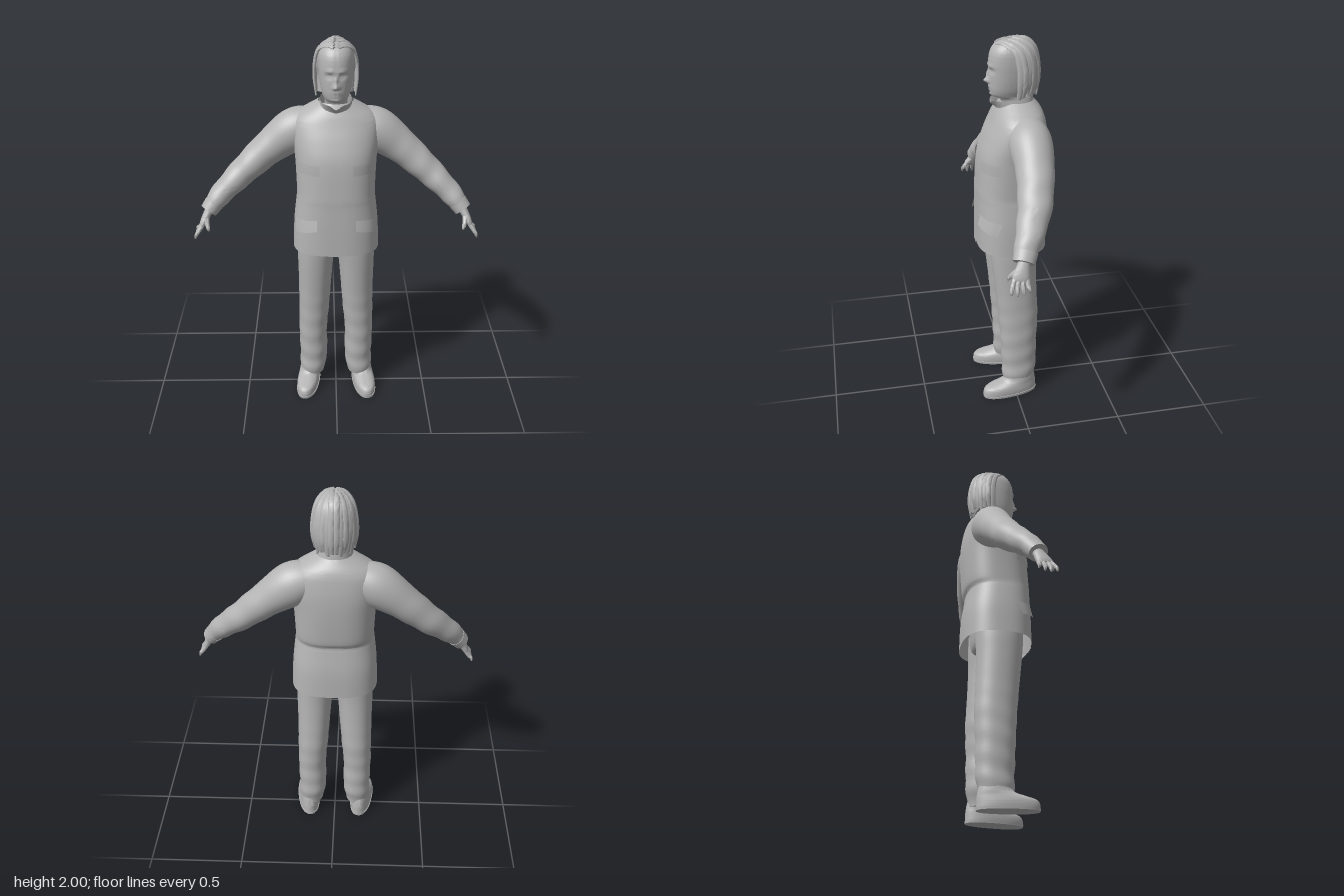
import * as THREE from 'three';
import { toCreasedNormals } from 'three/addons/utils/BufferGeometryUtils.js';

const V3 = (x, y, z) => new THREE.Vector3(x, y, z);
const UP = V3(0, 1, 0);
const FRONT = V3(0, 0, 1);

// Smooth interpolation through rows of numbers, t in 0..rows-1
function sample(rows, t) {
  const i = Math.min(Math.floor(t), rows.length - 2), f = t - i;
  const at = k => rows[Math.max(0, Math.min(rows.length - 1, k))];
  const [a, b, c, d] = [at(i - 1), at(i), at(i + 1), at(i + 2)];
  return b.map((p, k) => p + 0.5 * f * (c[k] - a[k] + f * (2 * a[k] - 5 * p + 4 * c[k] - d[k]
    + f * (3 * (p - c[k]) + d[k] - a[k]))));
}

// Skin over superellipse rings [x, y, z, radiusU, radiusV, power].
// Rings lie flat when level is set, otherwise square to the path.
function loft(rows, { n = 32, steps = 5, level = true, side = FRONT, warp, start = true, end = true, crease = 0.8 } = {}) {
  const pos = [], idx = [], count = (rows.length - 1) * steps + 1, centres = [];
  for (let i = 0; i < count; i++) {
    const t = i / steps, [x, y, z, a, b, p] = sample(rows, t);
    const c = V3(x, y, z);
    const p0 = sample(rows, Math.max(0, t - 0.1)), p1 = sample(rows, Math.min(rows.length - 1, t + 0.1));
    const T = level ? UP.clone() : V3(p1[0] - p0[0], p1[1] - p0[1], p1[2] - p0[2]).normalize();
    const v = side.clone().addScaledVector(T, -side.dot(T)).normalize();
    const u = T.clone().cross(v);
    centres.push(c);
    for (let j = 0; j < n; j++) {
      const q = j / n * Math.PI * 2, e = 2 / p, cs = Math.cos(q), sn = Math.sin(q);
      const pt = c.clone()
        .addScaledVector(u, a * Math.sign(cs) * Math.abs(cs) ** e)
        .addScaledVector(v, b * Math.sign(sn) * Math.abs(sn) ** e);
      if (warp) warp(pt, c);
      pos.push(pt.x, pt.y, pt.z);
      if (i < count - 1) {
        const k = i * n + j, l = i * n + (j + 1) % n;
        idx.push(k, k + n, l, l, k + n, l + n);
      }
    }
  }
  const cap = (ring, flip) => {
    const c = centres[ring], m = pos.length / 3;
    pos.push(c.x, c.y, c.z);
    for (let j = 0; j < n; j++) {
      const k = ring * n + j, l = ring * n + (j + 1) % n;
      flip ? idx.push(m, l, k) : idx.push(m, k, l);
    }
  };
  if (start) cap(0, false);
  if (end) cap(count - 1, true);
  const g = new THREE.BufferGeometry();
  g.setAttribute('position', new THREE.Float32BufferAttribute(pos, 3));
  g.setIndex(idx);
  return toCreasedNormals(g, crease);
}

// Row given by height, half width, front and back depth
const ring = ([y, rx, zf, zb, p = 2.2], x = 0) => [x, y, (zf + zb) / 2, rx, (zf - zb) / 2, p];

const JACKET = [
  [0.905, 0.226, 0.185, -0.18, 2.7], [1.05, 0.22, 0.183, -0.176, 2.7], [1.17, 0.207, 0.18, -0.16, 2.6],
  [1.2, 0.203, 0.18, -0.157, 2.6], [1.24, 0.203, 0.178, -0.172, 2.6], [1.4, 0.21, 0.165, -0.185, 2.5],
  [1.5, 0.222, 0.135, -0.185, 2.4], [1.58, 0.222, 0.1, -0.175, 2.3], [1.62, 0.195, 0.083, -0.165, 2.2],
  [1.65, 0.15, 0.068, -0.15, 2.1], [1.685, 0.09, 0.05, -0.12, 2],
].map(r => ring(r));

// Depth of the jacket's front at a given x and y
function jacketFront(x, y) {
  let lo = 0, hi = JACKET.length - 1;
  for (let i = 0; i < 24; i++) {
    const m = (lo + hi) / 2;
    if (sample(JACKET, m)[1] < y) lo = m; else hi = m;
  }
  const [, , z, a, b, p] = sample(JACKET, lo);
  return z + b * Math.max(0, 1 - Math.abs(x / a) ** p) ** (1 / p);
}

// Thin cloth patch lying on the jacket, from its top edge to its bottom edge
function patch(x0, x1, top, bottom, liftTop, liftBottom, rows = 6) {
  const g = new THREE.PlaneGeometry(1, 1, 10, rows), a = g.attributes.position;
  for (let i = 0; i < a.count; i++) {
    const u = a.getX(i) + 0.5, v = a.getY(i) + 0.5;
    const x = x0 + (x1 - x0) * u, y = bottom(u) + (top(u) - bottom(u)) * v;
    a.setXYZ(i, x, y, jacketFront(x, y) + liftBottom + (liftTop - liftBottom) * v);
  }
  g.computeVertexNormals();
  return g;
}

// Facial relief: [x, y, depth, width, height]
const FACE = [
  [0, 1.788, 0.026, 0.013, 0.014], [0, 1.82, 0.013, 0.009, 0.024],
  [0, 1.757, 0.007, 0.02, 0.006], [0, 1.742, 0.006, 0.017, 0.005], [0, 1.718, 0.006, 0.02, 0.01],
  ...[-1, 1].flatMap(s => [
    [s * 0.032, 1.84, -0.013, 0.017, 0.012], [s * 0.032, 1.84, 0.007, 0.01, 0.006],
    [s * 0.03, 1.863, 0.006, 0.02, 0.008], [s * 0.013, 1.782, 0.007, 0.007, 0.008],
  ]),
];
function faceRelief(p) {
  const w = THREE.MathUtils.clamp(p.z / 0.06, 0, 1);
  let d = 0;
  for (const [x, y, h, sx, sy] of FACE) d += h * Math.exp(-(((p.x - x) / sx) ** 2) - ((p.y - y) / sy) ** 2);
  p.z += d * w;
}

export function createModel() {
  const model = new THREE.Group();
  const grey = new THREE.MeshStandardMaterial({ color: 0xb4b4b4, side: THREE.DoubleSide });
  grey.name = 'plain grey';
  const add = (name, geometry) => {
    const m = new THREE.Mesh(geometry, grey);
    m.name = name;
    model.add(m);
    return m;
  };

  // Head with neck
  add('head', loft([
    [1.62, 0.06, 0.03, -0.08], [1.67, 0.058, 0.035, -0.08], [1.698, 0.058, 0.05, -0.08], [1.71, 0.06, 0.09, -0.085],
    [1.74, 0.071, 0.101, -0.09], [1.78, 0.079, 0.104, -0.1], [1.83, 0.085, 0.105, -0.11], [1.88, 0.088, 0.106, -0.115],
    [1.93, 0.085, 0.097, -0.105], [1.965, 0.069, 0.074, -0.08], [1.983, 0.045, 0.04, -0.05], [1.99, 0.012, 0.0, -0.02],
  ].map(r => ring(r)), { n: 80, steps: 7, warp: faceRelief, crease: 1.2 }));

  // Hair: back mass under parted strands
  add('hairBack', loft([
    [1.72, 0.092, -0.03, -0.115], [1.8, 0.1, -0.03, -0.137], [1.87, 0.104, 0.01, -0.14],
    [1.94, 0.09, 0.04, -0.122], [1.985, 0.045, 0.03, -0.07],
  ].map(r => ring(r))));
  const FALL = [[0.03, 1.99], [0.42, 1.983], [0.8, 1.945], [0.98, 1.87], [1, 1.79], [0.92, 1.71]];
  for (const s of [-1, 1]) {
    for (let i = 0; i < 8; i++) {
      const a = i / 7.5 * Math.PI / 2, root = 0.07 - 0.016 * i, drop = 0.02 * Math.max(0, root / 0.07);
      const rows = FALL.map(([r, y], k) => [
        s * (0.107 * Math.cos(a) * r + 0.006 * (1 - r)),
        y - drop * (1 - r) + (k === 5 ? 0.012 * (i % 3) : 0),
        root * (1 - r) + (-0.035 - 0.108 * Math.sin(a)) * r,
        k === 5 ? 0.004 : 0.008 + 0.003 * (i % 2), k === 0 || k === 5 ? 0.01 : 0.019, 2,
      ]);
      add('hairStrand', loft(rows, { n: 12, level: false, side: V3(-s * Math.sin(a), 0, -Math.cos(a)), crease: 1.2 }));
    }
  }

  // Jacket body, open at the hem
  add('jacketBody', loft(JACKET, { n: 64, steps: 6, start: false, end: false, crease: 1 }));
  // Standing collar, tipped forward and notched at the front
  add('collar', loft([
    [1.62, 0.098, 0.065, -0.13], [1.655, 0.088, 0.07, -0.122], [1.7, 0.08, 0.1, -0.115],
  ].map(r => ring(r)), {
    n: 48, start: false, end: false,
    warp: p => {
      const k = Math.max(0, (p.y - 1.62) / 0.08);
      p.y += k * (-0.1 * p.z - 0.02 * Math.exp(-((p.x / 0.02) ** 2)) * (p.z > 0 ? 1 : 0));
    },
  }));
  // Front fly and pocket flaps
  add('frontFly', patch(-0.04, 0.03, () => 1.62, () => 0.906, 0.004, 0.004, 40));
  for (const s of [-1, 1]) {
    add('chestPocketFlap', patch(s > 0 ? 0.085 : -0.195, s > 0 ? 0.195 : -0.085, () => 1.4, () => 1.345, 0.008, 0.003));
    const slope = u => 0.05 * (s > 0 ? u : 1 - u);
    add('hipPocketFlap', patch(s > 0 ? 0.1 : -0.21, s > 0 ? 0.21 : -0.1,
      u => 1.105 - slope(u) * 0.3, u => 1.05 - slope(u) * 0.6, 0.002, 0.014));
  }

  // Hips hidden under the jacket
  add('hips', loft([[0.87, 0.1, 0.09, -0.1], [0.91, 0.19, 0.125, -0.12], [1.02, 0.195, 0.14, -0.13]].map(r => ring(r, 0))));

  for (const s of [-1, 1]) {
    // Sleeve with soft folds, and cuff
    add('sleeve', loft([
      [0.08, 1.565, -0.06, 0.075, 0.08], [0.2, 1.523, -0.06, 0.112, 0.108], [0.335, 1.43, -0.055, 0.09, 0.095],
      [0.48, 1.305, -0.022, 0.072, 0.083], [0.59, 1.205, 0.03, 0.058, 0.066], [0.655, 1.13, 0.066, 0.044, 0.052],
    ].map(([x, ...r]) => [s * x, ...r, 2]), {
      n: 36, steps: 8, level: false, crease: 1,
      warp: (p, c) => {
        const k = Math.max(0, Math.abs(c.x) - 0.25);
        p.sub(c).multiplyScalar(1 + 0.12 * k * Math.sin(c.y * 70 + p.z * 30)).add(c);
      },
    }));
    add('cuff', loft([
      [0.632, 1.158, 0.053, 0.05, 0.058], [0.662, 1.12, 0.07, 0.045, 0.053],
    ].map(([x, ...r]) => [s * x, ...r, 2]), { level: false }));

    // Hand: palm, four fingers and thumb
    const limb = (name, rows) => add(name, loft(rows.map(([x, ...r]) => [s * x, ...r, 2]), { n: 14, level: false, crease: 1.3 }));
    limb('palm', [
      [0.652, 1.135, 0.062, 0.024, 0.028], [0.672, 1.1, 0.075, 0.021, 0.033],
      [0.69, 1.065, 0.088, 0.018, 0.042], [0.701, 1.043, 0.094, 0.011, 0.04],
    ]);
    for (let i = 0; i < 4; i++) {
      const o = i - 1.5, short = [0.014, 0.003, 0, 0.006][i];
      limb('finger', [
        [0.694, 1.055, 0.09 + o * 0.02, 0.011, 0.011], [0.715, 1.026, 0.097 + o * 0.025, 0.01, 0.01],
        [0.726, 1.004 + short, 0.098 + o * 0.028, 0.009, 0.009], [0.731, 0.986 + short, 0.097 + o * 0.03, 0.004, 0.004],
      ]);
    }
    limb('thumb', [
      [0.672, 1.095, 0.09, 0.014, 0.016], [0.668, 1.07, 0.12, 0.012, 0.013],
      [0.661, 1.05, 0.137, 0.01, 0.01], [0.658, 1.035, 0.143, 0.004, 0.005],
    ]);

    // Trouser leg with soft folds toward the hem
    add('trouserLeg', loft([
      [0.08, 0.132, -0.02, 0.066, 0.084], [0.12, 0.131, -0.022, 0.071, 0.09], [0.2, 0.126, -0.025, 0.076, 0.096],
      [0.35, 0.128, -0.022, 0.077, 0.1], [0.5, 0.121, -0.02, 0.083, 0.108], [0.65, 0.115, -0.01, 0.088, 0.112],
      [0.8, 0.11, 0, 0.095, 0.118], [0.9, 0.104, 0.003, 0.102, 0.123], [1.0, 0.1, 0.003, 0.1, 0.123],
    ].map(([y, x, z, a, b]) => [s * x, y, z, a, b, 2.2]), {
      n: 36, steps: 7, crease: 1,
      warp: (p, c) => {
        const k = 0.05 * Math.max(0, 0.7 - c.y);
        p.sub(c).multiplyScalar(1 + k * Math.sin(c.y * 55 + p.z * 14)).add(c);
      },
    }));

    // Shoe and sole, toes turned out
    const shoe = add('shoe', loft([
      [0.012, 0.058, 0.157, -0.147, 2.3], [0.035, 0.06, 0.157, -0.147, 2.2], [0.055, 0.058, 0.142, -0.147, 2.2],
      [0.072, 0.055, 0.09, -0.145, 2.1], [0.09, 0.053, 0.04, -0.142, 2], [0.12, 0.05, 0.02, -0.135, 2],
    ].map(r => ring(r)), { n: 40, crease: 1 }));
    const sole = add('sole', loft([[0, 0.06, 0.158, -0.149, 2.3], [0.014, 0.062, 0.16, -0.15, 2.3]].map(r => ring(r)), { n: 40 }));
    for (const m of [shoe, sole]) {
      m.position.set(s * 0.157, 0, 0.028);
      m.rotation.y = s * 0.14;
    }
  }
  return model;
}
